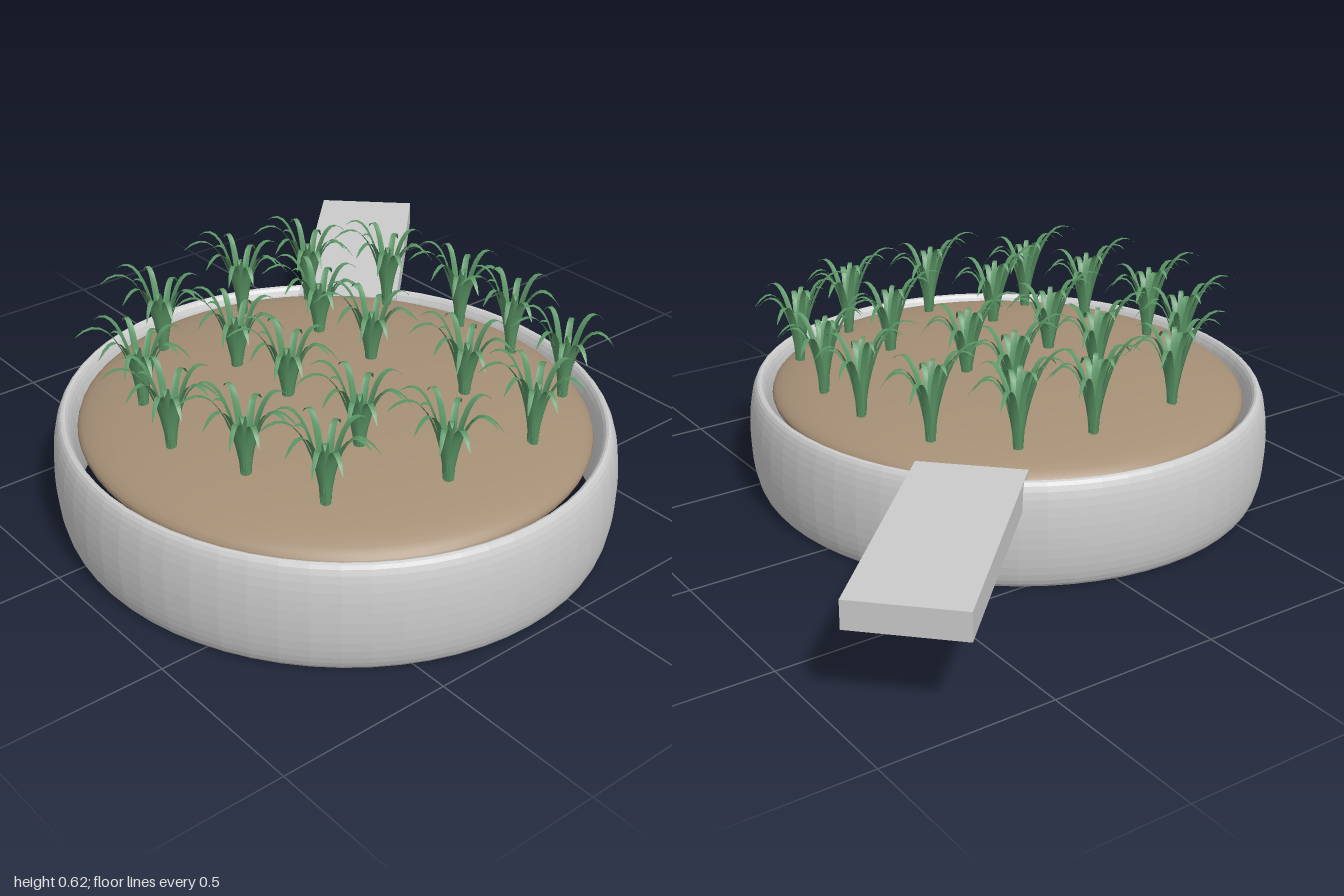
import * as THREE from 'three';
import { mergeGeometries } from 'three/addons/utils/BufferGeometryUtils.js';

const CENTER = 0.17;   // x and z of the bed's centre
const SQUASH = 0.953;  // the bed is slightly oval

// One arching, drooping, tapering blade with a V-shaped cross-section
function bladeGeometry(azimuth, reach, height, arch) {
  const a = THREE.MathUtils.degToRad(azimuth);
  const out = new THREE.Vector3(Math.cos(a), 0, Math.sin(a));
  const side = new THREE.Vector3(-out.z, 0, out.x);
  const steps = 10, positions = [], index = [];
  for (let i = 0; i <= steps; i++) {
    const t = i / steps;
    const r = 0.008 + (reach - 0.008) * Math.pow(t, 1.5);
    const y = height * Math.sin(t * arch);
    const half = 0.0115 * Math.pow(1 - t, 0.4) + 0.0008;
    for (const s of [-1, 0, 1]) {
      const fold = s === 0 ? 0.005 * (1 - t) : 0;
      const p = out.clone().multiplyScalar(r + fold).addScaledVector(side, s * half);
      positions.push(p.x, y, p.z);
    }
    if (i < steps) {
      for (const c of [0, 1]) {
        const k = i * 3 + c;
        index.push(k, k + 3, k + 1, k + 1, k + 3, k + 4);
      }
    }
  }
  const g = new THREE.BufferGeometry();
  g.setAttribute('position', new THREE.Float32BufferAttribute(positions, 3));
  g.setIndex(index);
  g.computeVertexNormals();
  return g;
}

export function createModel() {
  const model = new THREE.Group();
  const grey = new THREE.MeshStandardMaterial({ color: 0xcccccc, flatShading: true });
  const earth = new THREE.MeshStandardMaterial({ color: 0xa58f76 });
  const green = new THREE.MeshStandardMaterial({ color: 0x5a9565, side: THREE.DoubleSide });

  const add = (name, geometry, material, parent = model) => {
    const mesh = new THREE.Mesh(geometry, material);
    mesh.name = name;
    parent.add(mesh);
    return mesh;
  };

  const bed = new THREE.Group();
  bed.name = 'bed';
  bed.position.set(CENTER, 0, CENTER);
  bed.scale.z = SQUASH;
  model.add(bed);

  // Rim: ring with a tall, thin elliptical section
  const rim = [];
  for (let i = 0; i <= 32; i++) {
    const a = (i / 32) * Math.PI * 2 - Math.PI / 2;
    rim.push(new THREE.Vector2(0.791 + 0.036 * Math.cos(a), 0.16 + 0.16 * Math.sin(a)));
  }
  add('rim', new THREE.LatheGeometry(rim, 64), grey, bed);

  // Soil: flattened ball filling the ring
  const soil = add('soil', new THREE.SphereGeometry(0.75, 64, 32), earth, bed);
  soil.scale.y = 0.14;
  soil.position.y = 0.285;

  // Plank running diagonally off the back right
  const plank = add('plank', new THREE.BoxGeometry(0.78, 0.08, 0.315), grey);
  plank.position.set(-0.613, 0.281, -0.575);
  plank.rotation.y = -Math.PI / 4;

  // Grass tuft: azimuth, reach, height, arch
  const blades = [
    [105, 0.18, 0.275, 1.95], [140, 0.13, 0.275, 1.9], [80, 0.15, 0.24, 2.1],
    [55, 0.12, 0.20, 2.3], [20, 0.13, 0.20, 2.2], [-15, 0.14, 0.23, 2.0],
    [-50, 0.14, 0.20, 2.3], [-85, 0.14, 0.23, 2.1], [-125, 0.14, 0.20, 2.2],
    [185, 0.10, 0.25, 2.0], [125, 0.08, 0.24, 1.8], [40, 0.08, 0.22, 1.9],
  ];
  const tuft = mergeGeometries(blades.map((b) => bladeGeometry(...b)));

  // Tufts in curved rows: x, z
  const spots = [
    [-0.18, -0.33], [0.08, -0.40], [0.30, -0.40], [0.58, -0.33],
    [-0.36, -0.16], [-0.12, -0.01], [0.12, -0.01], [0.43, -0.09], [0.71, -0.08],
    [-0.40, 0.07], [-0.36, 0.39], [-0.10, 0.31], [0.14, 0.31], [0.46, 0.32], [0.71, 0.23],
    [-0.12, 0.62], [0.12, 0.69], [0.36, 0.62], [0.59, 0.54],
  ];
  const plants = new THREE.Group();
  plants.name = 'plants';
  model.add(plants);
  for (const [x, z] of spots) add('grassTuft', tuft, green, plants).position.set(x, 0.345, z);

  return model;
}
